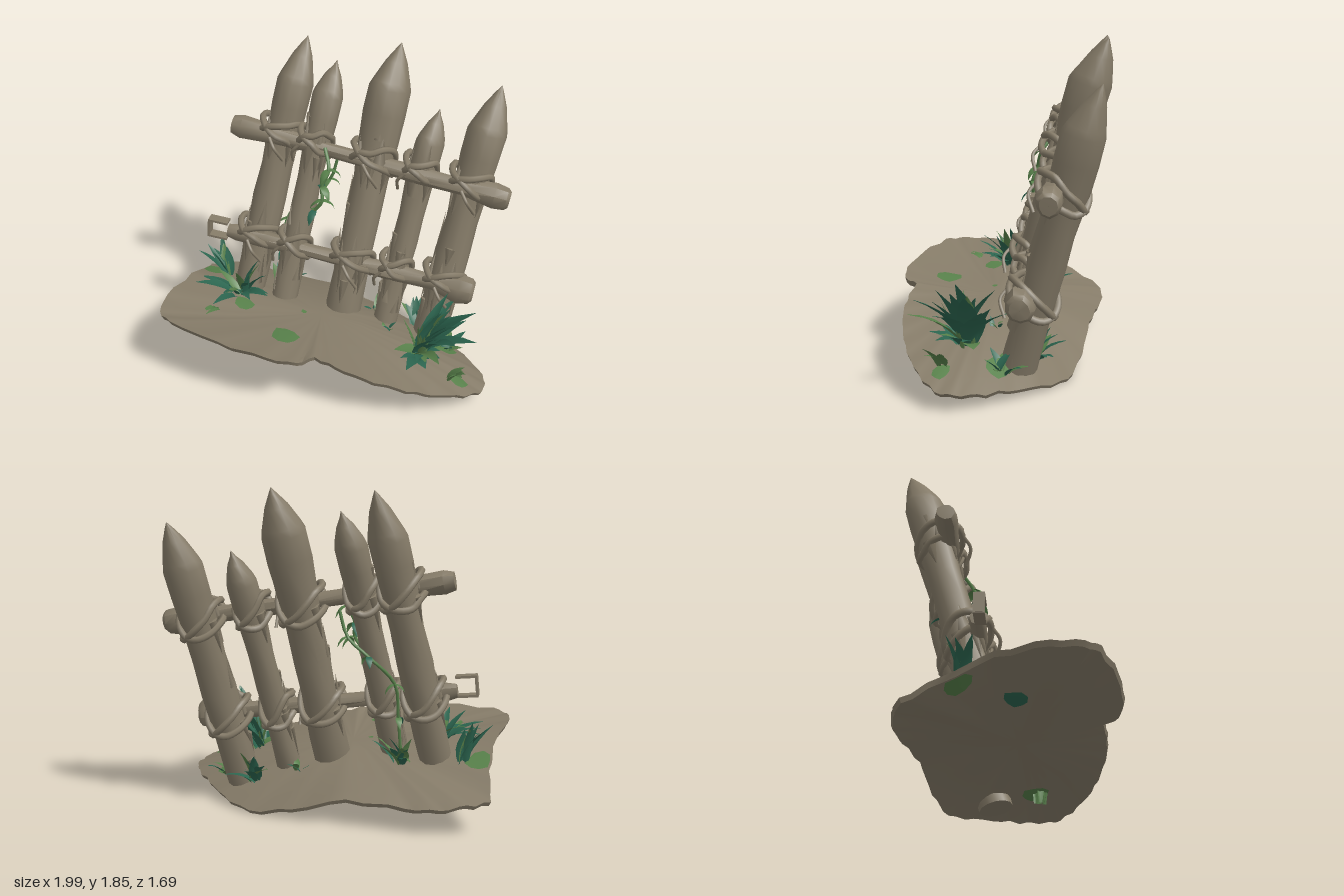
import * as THREE from 'three';
import { toCreasedNormals, mergeVertices } from 'three/addons/utils/BufferGeometryUtils.js';

const mat = (name, color, side = THREE.FrontSide) => {
  const m = new THREE.MeshStandardMaterial({ color, side });
  m.name = name;
  return m;
};
const V = (x, y, z) => new THREE.Vector3(x, y, z);
const UP = V(0, 1, 0);

export function createModel() {
  const wood = mat('weathered wood', 0x857b68);
  const bark = mat('torn bark', 0x857b68, THREE.DoubleSide);
  const darkLeaf = mat('dark leaf', 0x2c6650, THREE.DoubleSide);
  const lightLeaf = mat('light leaf', 0x57804a, THREE.DoubleSide);
  const model = new THREE.Group();
  let seed = 7;
  const rnd = (a = 0, b = 1) => {
    seed = (seed * 16807) % 2147483647;
    return a + (b - a) * (seed / 2147483647);
  };
  const add = (name, geo, material, parent = model) => {
    const m = new THREE.Mesh(geo, material);
    m.name = name;
    parent.add(m);
    return m;
  };

  // Ground: tilted, domed slab described by its rim (x, y, z)
  const rim = [[-1, .21, 0], [-.92, .2, -.1], [-.8, .17, -.19], [-.62, .16, -.25], [-.3, .17, -.36], [0, .08, -.47],
    [.27, .03, -.53], [.5, .06, -.5], [.7, .08, -.41], [.87, .1, -.33], [.96, .11, -.25], [.99, .12, -.15],
    [.93, .17, 0], [.82, .22, .15], [.7, .28, .27], [.55, .34, .38], [.4, .39, .45], [.28, .42, .49],
    [.24, .43, .6], [.1, .45, .69], [-.2, .47, .79], [-.52, .48, .84], [-.64, .47, .81], [-.73, .47, .67],
    [-.8, .44, .4], [-.9, .32, .16]].map(p => V(...p));
  const centre = V(0, .36, .1);
  const edge = new THREE.CatmullRomCurve3(rim, true, 'catmullrom', .25).getPoints(78).slice(0, 78);
  edge.forEach((e, i) => {
    e.y += .007 * Math.sin(i * 2.1);
    e.lerp(centre, .012 * Math.sin(i * 1.7) ** 2);
  });
  const bump = (x, z) => Math.sin(9 * x + 4) * Math.sin(11 * z);
  const topY = (t, y, x, z) => THREE.MathUtils.lerp(centre.y, y, t ** 1.6) + .008 * bump(x, z) * (1 - t);
  const drop = (t, x, z) => .025 + (.085 + .03 * bump(x * 1.3, z * 1.2)) * (1 - t);
  const groundY = (x, z, under = false) => {
    const px = x - centre.x, pz = z - centre.z;
    for (let i = 0; i < edge.length; i++) {
      const a = edge[i].clone().sub(centre), b = edge[(i + 1) % edge.length].clone().sub(centre);
      const d = a.x * b.z - a.z * b.x;
      const u = (px * b.z - pz * b.x) / d, v = (a.x * pz - a.z * px) / d;
      if (u >= 0 && v >= 0) {
        const t = u + v;
        return topY(t, centre.y + (u * a.y + v * b.y) / Math.max(t, 1e-6), x, z) - (under ? drop(t, x, z) : 0);
      }
    }
    return centre.y;
  };
  const slab = [], faces = [], n = edge.length;
  const rings = [[0, 1], [.25, 1], [.5, 1], [.7, 1], [.88, 1], [1, 1], [.985, 0], [.85, 0], [.6, 0], [.3, 0], [0, 0]];
  rings.forEach(([t, top], r) => edge.forEach((e, j) => {
    const x = centre.x + (e.x - centre.x) * t, z = centre.z + (e.z - centre.z) * t;
    slab.push(x, topY(t, e.y, x, z) - (top ? 0 : drop(t, x, z)), z);
    if (r === rings.length - 1) return;
    const a = r * n + j, b = r * n + (j + 1) % n;
    faces.push(a, b + n, a + n, a, b, b + n);
  }));
  const slabGeo = new THREE.BufferGeometry();
  slabGeo.setAttribute('position', new THREE.Float32BufferAttribute(slab, 3));
  slabGeo.setIndex(faces);
  add('ground', toCreasedNormals(slabGeo, .6), wood);

  // Rough round timber from a profile [radius, height], wobbling around its axis
  const timber = (profile, sides, wobble, phase, leanZ = 0) => {
    let g = new THREE.LatheGeometry(profile.map(p => new THREE.Vector2(...p)), sides);
    g.deleteAttribute('normal');
    g.deleteAttribute('uv');
    g = mergeVertices(g, 1e-4);
    const p = g.attributes.position, end = profile.at(-1)[1];
    for (let i = 0; i < p.count; i++) {
      const x = p.getX(i), y = p.getY(i), z = p.getZ(i), a = Math.atan2(z, x);
      const k = 1 + wobble * (Math.sin(2 * a + y * 5 + phase) + .6 * Math.sin(3 * a - y * 11 + phase * 2));
      p.setXYZ(i, x * k, y, z * k + leanZ * Math.max(0, 1 - (end - y) / .25));
    }
    return toCreasedNormals(g, .75);
  };
  const tube = (pts, r, closed = false) =>
    new THREE.TubeGeometry(new THREE.CatmullRomCurve3(pts, closed), pts.length * 3, r, 6, closed);

  // Rails: start, end, start radius, end radius
  const rails = [
    { name: 'upperRail', a: V(-.72, 1.37, .05), b: V(.75, 1.09, -.67), r0: .06, r1: .07 },
    { name: 'lowerRail', a: V(-.65, .73, .21), b: V(.69, .52, -.47), r0: .045, r1: .082 },
  ];
  rails.forEach((rail, i) => {
    const d = rail.b.clone().sub(rail.a), L = d.length();
    const profile = [[.001, 0], [rail.r0 * .85, .003], [rail.r0 * 1.1, .06]];
    for (let k = 1; k < 6; k++) profile.push([.047 + .005 * Math.sin(k * 2), L * k / 6]);
    profile.push([rail.r1 * 1.08, L - .09], [rail.r1 * .95, L - .02], [rail.r1 * .7, L - .001], [.001, L]);
    const m = add(rail.name, timber(profile, 9, .06, i + 1), wood);
    m.position.copy(rail.a);
    m.quaternion.setFromUnitVectors(UP, d.normalize());
  });

  // Posts with sharpened heads, rope lashings and torn bark; the last one pierces the ground
  const posts = [
    { base: V(-.53, 0, .17), tip: V(-.48, 1.86, -.33), r: .1, head: .25, sink: .02 },
    { base: V(-.295, 0, .11), tip: V(-.295, 1.75, -.37), r: .08, head: .19, sink: .02 },
    { base: V(.025, 0, -.07), tip: V(0, 1.87, -.58), r: .11, head: .24, sink: .02 },
    { base: V(.245, 0, -.2), tip: V(.265, 1.53, -.61), r: .077, head: .18, sink: .02 },
    { base: V(.475, 0, -.32), tip: V(.53, 1.68, -.82), r: .104, head: .25, sink: .09 },
  ];
  posts.forEach(({ base, tip, r, head, sink }, i) => {
    const g = new THREE.Group();
    g.name = 'post' + (i + 1);
    model.add(g);
    base.y = groundY(base.x, base.z) - sink;
    const d = tip.clone().sub(base), L = d.length(), s = L - head;
    g.position.copy(base);
    g.quaternion.setFromUnitVectors(UP, d.clone().normalize());
    add('stake', timber([[.001, 0], [r * .96, .001], [r * .96, .15], [r * .93, s * .3], [r * .98, s * .45],
      [r * .92, s * .6], [r * 1.02, s * .75], [r * 1.1, s * .88], [r * 1.1, s - .02], [r * .98, s + .02],
      [r * .58, s + head * .55], [r * .2, L - .035], [.001, L]], 12, .035, i * 1.7, -.025), wood, g);

    // Steeply crossing loops, sagging at the back of each joint, with a loose end
    const inverse = g.quaternion.clone().invert();
    rails.forEach(rail => {
      const t = (base.x - rail.a.x) / (rail.b.x - rail.a.x);
      const onRail = rail.a.clone().lerp(rail.b, t).sub(base).applyQuaternion(inverse);
      const cz = THREE.MathUtils.clamp(onRail.z, -.07, .07) * .4, rz = r + .01 + Math.abs(cz);
      [-1, 1].forEach(tilt => {
        const loop = [];
        for (let q = 0; q < 12; q++) {
          const a = q / 12 * Math.PI * 2;
          const sag = Math.sin(a) < 0 ? .07 * Math.sin(a) : .02 * Math.sin(a);
          loop.push(V(Math.cos(a) * (r + .01), onRail.y + .03 + tilt * .06 * Math.cos(a) + sag + rnd(-.01, .01),
            cz + Math.sin(a) * rz));
        }
        add('lashing', tube(loop, .02, true), wood, g);
      });
      const side = i % 2 ? -1 : 1;
      add('ropeEnd', tube([V(side * r * .3, onRail.y, cz + rz), V(side * r * .8, onRail.y - .05, cz + rz),
        V(side * r * 1.1, onRail.y - .12, rz * .7)], .01), wood, g);

      // Ragged bark collar around the joint
      for (let k = 0; k < 5; k++) {
        const a = .2 + k * .7 + rnd(-.2, .2);
        const flake = add('barkCollar', new THREE.ConeGeometry(.04, rnd(.14, .22), 4), bark, g);
        flake.scale.z = .4;
        flake.position.set(Math.cos(a) * r, onRail.y + (k % 2 ? .09 : -.09), Math.sin(a) * r);
        flake.rotation.set(rnd(-.1, .1), Math.PI / 2 - a, k % 2 ? 0 : Math.PI, 'YXZ');
      }
    });

    // Splinters peeling away from the front and sides
    for (let k = 0; k < 8; k++) {
      const a = rnd(0, Math.PI), h = rnd(.1, s - .16);
      const flake = add('splinter', new THREE.ConeGeometry(.03, rnd(.12, .22), 4), bark, g);
      flake.scale.z = .35;
      flake.position.set(Math.cos(a) * r * .95, h, Math.sin(a) * r * .95);
      flake.rotation.set(rnd(.02, .1), Math.PI / 2 - a, k % 2 ? Math.PI : 0, 'YXZ');
    }
  });

  // Broken wooden bracket at the thin end of the lower rail
  const bracket = new THREE.Group();
  bracket.name = 'brokenRailEnd';
  bracket.position.set(-.685, .755, .25);
  bracket.rotation.set(0, .45, -.1);
  model.add(bracket);
  [[0, .055, .12, .014], [0, -.055, .12, .014], [-.055, 0, .014, .11]].forEach(([x, y, w, h]) =>
    add('bracketBar', new THREE.BoxGeometry(w, h, .06), wood, bracket).position.set(x, y, 0));

  // Curved pointed leaf: a plane narrowed to both ends and bent outward
  const leaf = (parent, x, y, z, yaw, len, width, lean, material) => {
    const geo = new THREE.PlaneGeometry(1, 1, 2, 5), p = geo.attributes.position;
    for (let i = 0; i < p.count; i++) {
      const t = p.getY(i) + .5, u = p.getX(i), w = width * Math.sin(Math.PI * (.12 + .88 * t)) + .002;
      const a = lean * (.6 + .4 * t);
      p.setXYZ(i, u * w, Math.cos(a) * t * len, Math.sin(a) * t * len - Math.abs(u) * w * .4);
    }
    geo.computeVertexNormals();
    const m = add('leaf', geo, material, parent);
    m.position.set(x, y, z);
    m.rotation.y = yaw;
  };
  // Plant: leaf count, length, width, yaw range, lean range, every nth leaf light, root depth
  const plant = (name, x, z, count, len, width, yaws, leans, lightEvery, depth = .01) => {
    const g = new THREE.Group(), y = groundY(x, z) - depth;
    g.name = name;
    model.add(g);
    for (let i = 0; i < count; i++) {
      const yaw = yaws[0] + (yaws[1] - yaws[0]) * (i + .5) / count + rnd(-.15, .15);
      leaf(g, x + rnd(-.03, .03), y, z + rnd(-.03, .03), yaw, len * rnd(.75, 1.1), width * rnd(.7, 1.2),
        rnd(...leans), i % lightEvery ? darkLeaf : lightLeaf);
    }
  };
  const round = [0, 6.28], back = [1.6, 4.7];
  plant('rightFern', -.48, .31, 12, .23, .06, [-1.9, 1.9], [.7, 1.35], 6);
  plant('rightFernUpright', -.45, .28, 6, .3, .055, [.4, 2], [.35, .8], 5);
  plant('rightFernSprig', -.47, .5, 3, .11, .04, [-.4, .4], [1, 1.4], 1);
  plant('rightSideFern', -.71, .17, 8, .26, .055, [-2.7, -.2], [.2, .7], 4);
  plant('leftFern', .58, -.08, 18, .42, .1, [.9, 3], [.35, 1], 9);
  plant('leftFernLow', .6, -.07, 9, .19, .09, [-.8, 2.4], [.8, 1.4], 4);
  plant('leftGrass', .6, -.1, 8, .42, .05, [-1.4, 2.6], [.1, .4], 1, .14);
  plant('leftEdgeSprig', .8, -.08, 4, .16, .06, [.8, 2.4], [.7, 1.2], 1);
  plant('leftBackTuft', .62, -.33, 8, .15, .055, round, [.5, 1.2], 2);
  plant('backTuftA', .36, -.37, 11, .19, .06, back, [.4, 1.2], 5);
  plant('backTuftB', -.4, .01, 11, .18, .05, back, [.3, 1.2], 2);
  plant('backTuftC', .12, -.24, 4, .1, .04, round, [.5, 1.2], 2);
  plant('frontSprig', .34, -.12, 4, .07, .03, round, [.5, 1.2], 2);

  // Mossy patches above and beneath the ground
  [[.01, .44, .085, .07, [false], lightLeaf], [-.38, .37, .065, .05, [false], lightLeaf],
    [-.8, .2, .07, .07, [false, true], lightLeaf], [.86, -.1, .06, .04, [false], lightLeaf],
    [.62, -.3, .08, .06, [false], lightLeaf], [-.08, .17, .018, .014, [false], lightLeaf],
    [.59, -.12, .075, .08, [true], lightLeaf], [-.46, .33, .07, .06, [true], darkLeaf]].forEach(
    ([x, z, rx, rz, sides, material]) => sides.forEach(under => {
      const geo = new THREE.CircleGeometry(1, 9).rotateX(-Math.PI / 2), p = geo.attributes.position;
      for (let i = 0; i < p.count; i++) {
        const k = i ? 1 + .12 * Math.sin((i % 9) * 4) : 1;
        const px = x + p.getX(i) * rx * k, pz = z + p.getZ(i) * rz * k;
        p.setXYZ(i, px, groundY(px, pz, under) + (under ? -.009 : .007), pz);
      }
      geo.computeVertexNormals();
      add('mossPatch', geo, material);
    }));

  // Creepers: one hanging from the upper rail, one winding behind the second post to the ground
  const creeper = (name, stem, r, len, width) => {
    const g = new THREE.Group();
    g.name = name;
    model.add(g);
    add('stem', tube(stem, r), lightLeaf, g);
    stem.slice(1).forEach((p, i) => [0, 1].forEach(k =>
      leaf(g, p.x, p.y, p.z, i * 1.3 + k * 2.6, len, width, 2.3, k && i % 2 ? darkLeaf : lightLeaf)));
  };
  creeper('hangingVine', [V(-.2, 1.3, -.17), V(-.13, 1.2, -.12), V(-.15, 1.1, -.08), V(-.13, 1.02, -.06),
    V(-.17, .95, -.04)], .011, .1, .045);
  creeper('climbingVine', [V(-.18, 1.2, -.26), V(-.22, 1.05, -.24), V(-.34, .95, -.21), V(-.41, .78, -.06),
    V(-.4, .58, -.01), V(-.4, .35, .02)], .009, .08, .035);

  return model;
}
